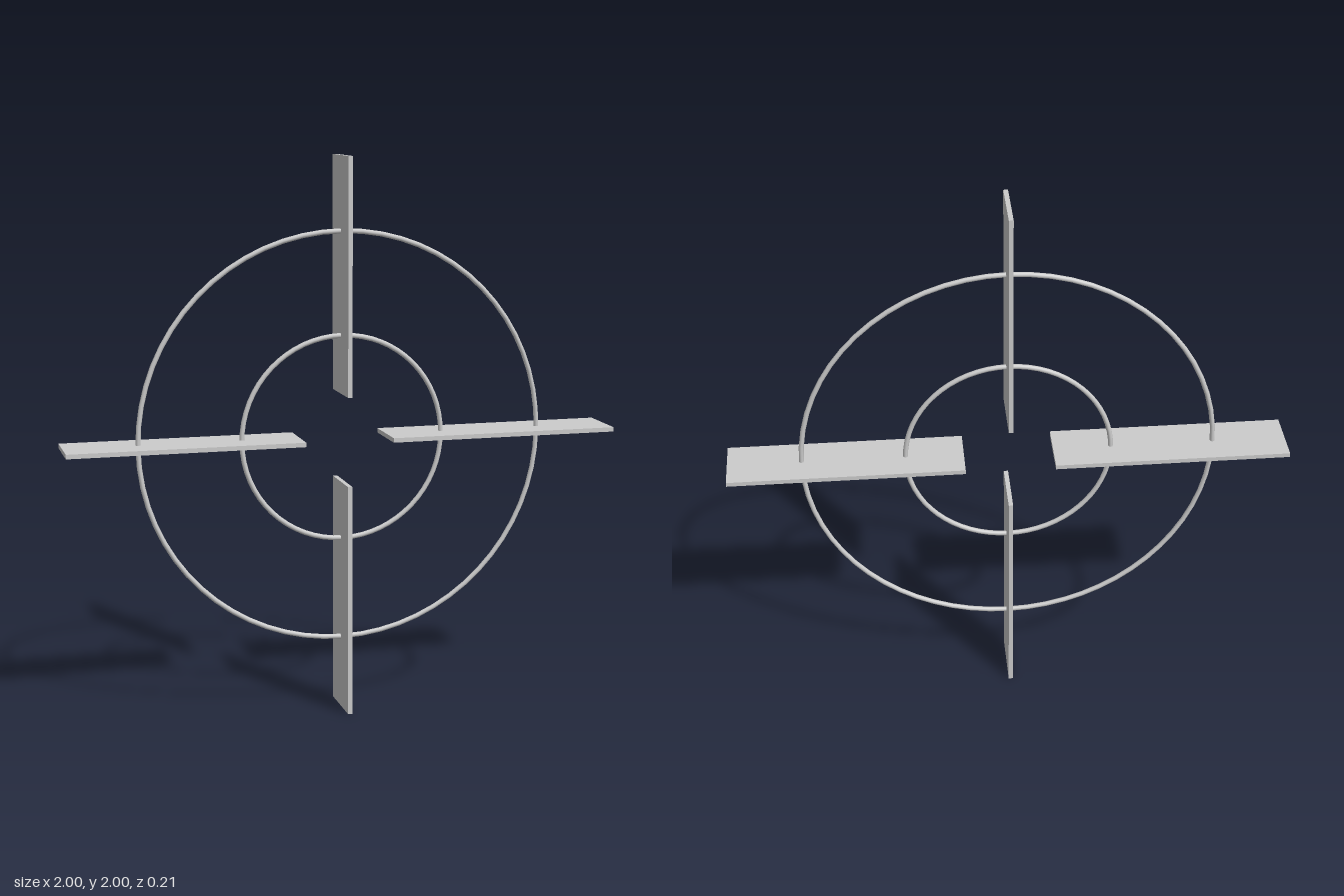
import * as THREE from 'three';

export function createModel() {
  const model = new THREE.Group();
  const material = new THREE.MeshStandardMaterial({ color: 0xcccccc });
  const centreY = 1;

  // Two thin concentric rings standing in the XY plane
  for (const [name, radius] of [['innerRing', 0.368], ['outerRing', 0.737]]) {
    const ring = new THREE.Mesh(new THREE.TorusGeometry(radius, 0.009, 8, 64), material);
    ring.name = name;
    ring.position.y = centreY;
    model.add(ring);
  }

  // Four flat blades, radiating from a central gap
  const inner = 0.16, outer = 1;
  const bladeGeometry = new THREE.BoxGeometry(outer - inner, 0.016, 0.21);
  bladeGeometry.translate((inner + outer) / 2, 0, 0);
  ['leftBlade', 'topBlade', 'rightBlade', 'bottomBlade'].forEach((name, i) => {
    const blade = new THREE.Mesh(bladeGeometry, material);
    blade.name = name;
    blade.position.y = centreY;
    blade.rotation.z = (i * Math.PI) / 2;
    model.add(blade);
  });

  return model;
}
